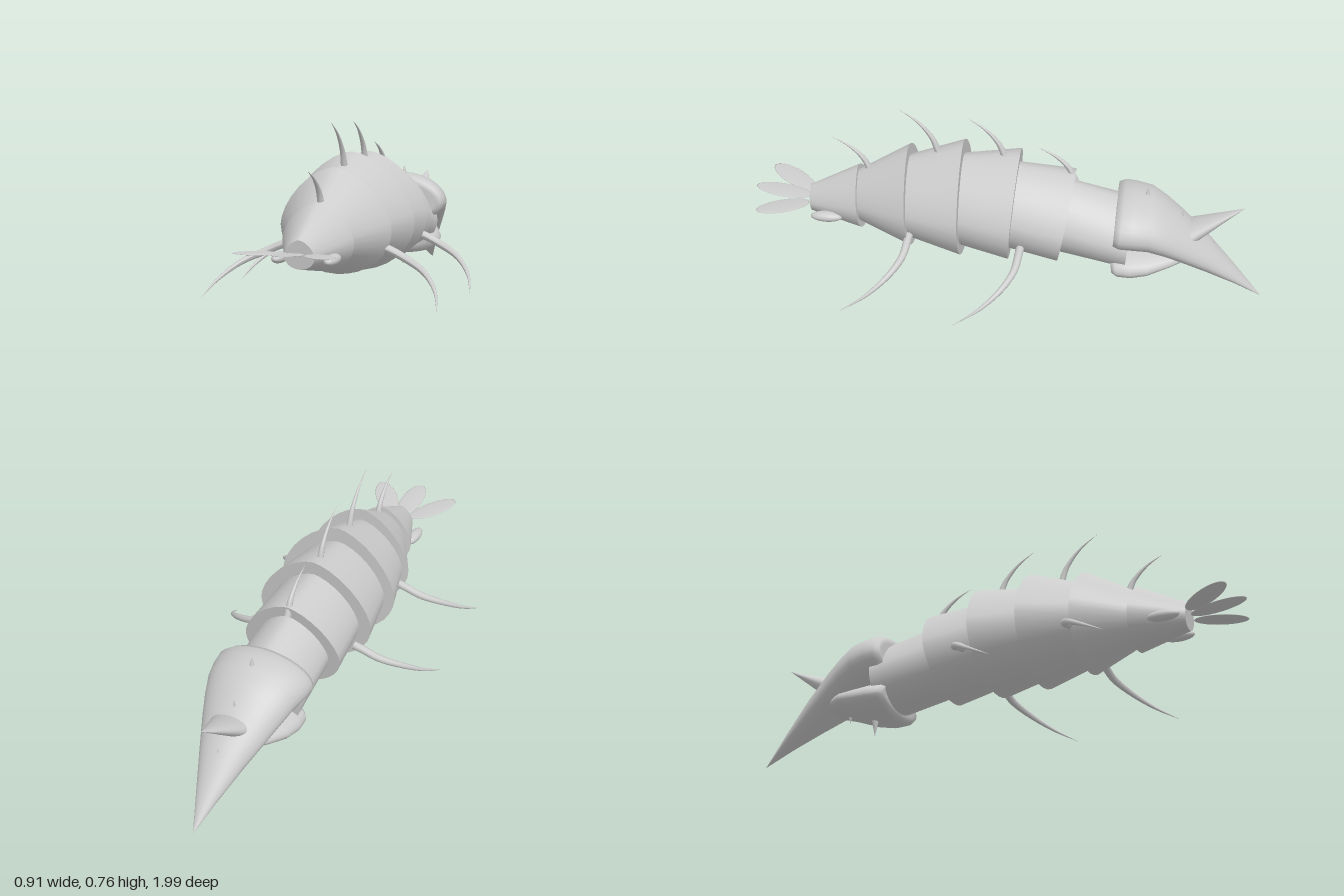
import * as THREE from 'three';

const material = new THREE.MeshStandardMaterial({ color: 0xcccccc, side: THREE.DoubleSide });
const SIDES = 32;

// Closed body through egg-shaped rings, listed from +z to -z.
// Each ring: [z at top, z at bottom, top y, bottom y, half width]
function loft(rings, power = 1.6) {
  const pos = [], index = [];
  const round = (v, p) => Math.sign(v) * Math.abs(v) ** p;
  const addRing = ([zt, zb, top, bottom, w]) => {
    const mid = bottom + (top - bottom) * 0.44;
    for (let j = 0; j < SIDES; j++) {
      const a = (j / SIDES) * Math.PI * 2;
      const c = Math.cos(a), s = Math.sin(a);
      const e = s > 0 ? 2 / power : 1;
      const y = mid + round(s, e) * (s > 0 ? top - mid : mid - bottom);
      const k = (y - bottom) / Math.max(top - bottom, 1e-6);
      pos.push(w * round(c, e), y, zb + (zt - zb) * k);
    }
  };
  const addCap = (ring, flip) => {
    const start = pos.length / 3;
    addRing(ring);
    pos.push(0, (ring[2] + ring[3]) / 2, (ring[0] + ring[1]) / 2);
    for (let j = 0; j < SIDES; j++) {
      const a = start + j, b = start + (j + 1) % SIDES;
      index.push(start + SIDES, ...(flip ? [b, a] : [a, b]));
    }
  };
  rings.forEach(addRing);
  for (let i = 0; i < rings.length - 1; i++) {
    for (let j = 0; j < SIDES; j++) {
      const a = i * SIDES + j, b = i * SIDES + (j + 1) % SIDES;
      index.push(a, a + SIDES, b, b, a + SIDES, b + SIDES);
    }
  }
  addCap(rings[0], false);
  addCap(rings[rings.length - 1], true);
  const g = new THREE.BufferGeometry();
  g.setAttribute('position', new THREE.Float32BufferAttribute(pos, 3));
  g.setIndex(index);
  g.computeVertexNormals();
  return g;
}

// Curved tube that narrows to a point
function taperedTube(points, radius, taper) {
  const curve = new THREE.CatmullRomCurve3(points.map(p => new THREE.Vector3(...p)));
  const steps = 20, around = 10;
  const g = new THREE.TubeGeometry(curve, steps, radius, around);
  const p = g.attributes.position, v = new THREE.Vector3();
  for (let i = 0; i < p.count; i++) {
    const u = Math.floor(i / (around + 1)) / steps;
    const c = curve.getPointAt(u);
    v.fromBufferAttribute(p, i).sub(c).multiplyScalar(taper(u)).add(c);
    p.setXYZ(i, v.x, v.y, v.z);
  }
  g.computeVertexNormals();
  return g;
}

export function createModel() {
  const model = new THREE.Group();
  const add = (name, geometry) => {
    const mesh = new THREE.Mesh(geometry, material);
    mesh.name = name;
    model.add(mesh);
    return mesh;
  };

  // Overlapping armour segments, each flaring toward the head
  const segments = [
    [[0.785, 0.775, 0.4, 0.295, 0.056], [0.593, 0.571, 0.5, 0.25, 0.135]],
    [[0.6, 0.575, 0.475, 0.275, 0.11], [0.394, 0.373, 0.6, 0.2, 0.214]],
    [[0.4, 0.375, 0.55, 0.235, 0.185], [0.182, 0.178, 0.63, 0.177, 0.244]],
    [[0.19, 0.18, 0.57, 0.215, 0.2], [-0.037, -0.002, 0.604, 0.17, 0.237]],
    [[-0.03, 0.0, 0.548, 0.21, 0.185], [-0.25, -0.185, 0.53, 0.166, 0.2]],
    [[-0.24, -0.18, 0.484, 0.2, 0.152], [-0.47, -0.45, 0.425, 0.148, 0.162]],
  ];
  segments.forEach((rings, i) => add(`bodySegment${i + 1}`, loft(rings)));

  // Head shell with rounded rim and beak-like point
  add('headShell', loft([
    [-0.412, -0.405, 0.43, 0.285, 0.165],
    [-0.415, -0.402, 0.45, 0.27, 0.186],
    [-0.44, -0.425, 0.461, 0.26, 0.197],
    [-0.48, -0.47, 0.46, 0.255, 0.193],
    [-0.545, -0.535, 0.45, 0.245, 0.179],
    [-0.6, -0.6, 0.415, 0.22, 0.16],
    [-0.66, -0.66, 0.367, 0.19, 0.137],
    [-0.77, -0.77, 0.265, 0.132, 0.091],
    [-0.88, -0.88, 0.139, 0.073, 0.045],
    [-0.985, -0.985, 0.012, 0.01, 0.001],
  ], 1.9));

  // Puffed lower jaw
  add('jaw', loft([
    [-0.4, -0.408, 0.23, 0.165, 0.13],
    [-0.395, -0.41, 0.24, 0.145, 0.152],
    [-0.41, -0.43, 0.25, 0.132, 0.165],
    [-0.47, -0.48, 0.255, 0.128, 0.168],
    [-0.54, -0.54, 0.25, 0.14, 0.155],
    [-0.62, -0.62, 0.25, 0.168, 0.12],
    [-0.7, -0.7, 0.24, 0.185, 0.06],
  ], 2));

  // Broad horn on the snout
  const horn = new THREE.ConeGeometry(1, 1, 28);
  horn.translate(0, 0.5, 0);
  const hornMesh = add('snoutHorn', horn);
  hornMesh.position.set(0, 0.28, -0.67);
  hornMesh.scale.set(0.088, 0.264, 0.044);
  hornMesh.rotation.x = -Math.atan2(0.23, 0.133);

  // Small thorns above and below the head: [y base, y tip, z, radius]
  for (const [y0, y1, z, r] of [
    [0.43, 0.483, -0.527, 0.015], [0.34, 0.386, -0.663, 0.01], [0.22, 0.256, -0.79, 0.007],
    [0.15, 0.07, -0.507, 0.017], [0.185, 0.14, -0.617, 0.01],
  ]) {
    const thorn = add('headThorn', new THREE.ConeGeometry(r, Math.abs(y1 - y0), 10));
    thorn.position.set(0, (y0 + y1) / 2, z);
    if (y1 < y0) thorn.rotation.x = Math.PI;
  }

  // Curved spines along the back: [y, z, rise, reach]
  for (const [y, z, rise, reach] of [
    [0.495, 0.55, 0.132, 0.14], [0.59, 0.28, 0.177, 0.15],
    [0.585, 0.025, 0.16, 0.145], [0.515, -0.238, 0.118, 0.138],
  ]) {
    const shape = [[-0.06, -0.2], [0, 0], [0.14, 0.32], [0.5, 0.7], [1, 1]];
    const path = shape.map(([a, b]) => [0, y + b * rise, z + a * reach]);
    add('backSpine', taperedTube(path, 0.015, u => 1 - u));
  }

  for (const side of [1, -1]) {
    // Two pairs of curved legs
    for (const [dx, dy, dz] of [[0, 0, 0], [0.014, -0.022, -0.428]]) {
      const path = [
        [0.17, 0.312, 0.373], [0.2, 0.304, 0.375], [0.27, 0.274, 0.386],
        [0.35, 0.237, 0.43], [0.41, 0.186, 0.505], [0.442, 0.132, 0.6],
      ].map(([x, y, z]) => [side * (x + dx), y + dy, z + dz]);
      add(side > 0 ? 'leftLeg' : 'rightLeg', taperedTube(path, 0.016, u => 1 - u ** 1.7));
    }
    // Rounded pods beside the tail end
    const pod = add('tailPod', new THREE.SphereGeometry(1, 20, 14));
    pod.scale.set(0.025, 0.02, 0.063);
    pod.position.set(side * 0.096, 0.322, 0.707);
  }

  // Three flat petals of the tail fan
  for (const k of [-1, 0, 1]) {
    const root = new THREE.Vector3(k * 0.043, 0.353, 0.785);
    const tip = k ? new THREE.Vector3(k * 0.17, 0.377, 0.962) : new THREE.Vector3(0, 0.384, 1);
    const petal = add('tailPetal', new THREE.SphereGeometry(1, 24, 12));
    petal.scale.set(0.046, 0.004, root.distanceTo(tip) / 2);
    petal.position.copy(root).add(tip).multiplyScalar(0.5);
    petal.lookAt(tip);
  }
  return model;
}
